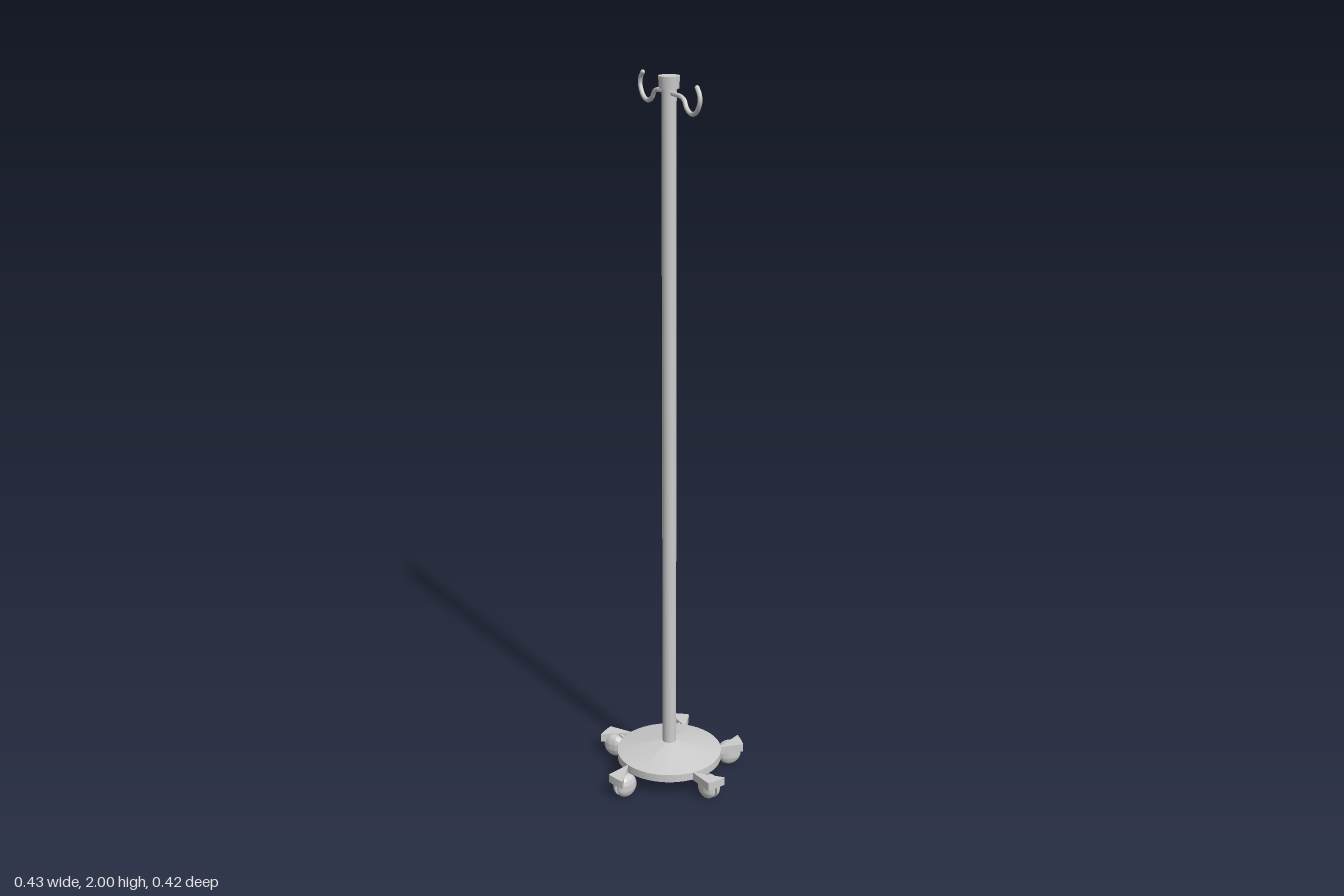
import * as THREE from 'three';
import { toCreasedNormals } from 'three/addons/utils/BufferGeometryUtils.js';

const material = new THREE.MeshStandardMaterial({ color: 0xcccccc });
const CENTRE_Z = -0.014;

function part(name, geometry, parent) {
  const mesh = new THREE.Mesh(geometry, material);
  mesh.name = name;
  parent.add(mesh);
  return mesh;
}

function lathe(points, segments) {
  const profile = points.map(([r, y]) => new THREE.Vector2(r, y));
  return toCreasedNormals(new THREE.LatheGeometry(profile, segments), 0.5);
}

// Flat foot arm with a rounded tip at the local origin, pointing along +x
function armGeometry() {
  const halfWidth = 0.0285, tipRadius = 0.22;
  const spread = Math.asin(halfWidth / tipRadius);
  const shape = new THREE.Shape();
  shape.moveTo(-0.078, -halfWidth);
  shape.absarc(-tipRadius, 0, tipRadius, -spread, spread, false);
  shape.lineTo(-0.078, halfWidth);
  shape.closePath();
  const geometry = new THREE.ExtrudeGeometry(shape, { depth: 0.024, bevelEnabled: false, curveSegments: 6 });
  geometry.rotateX(Math.PI / 2);
  geometry.translate(0, 0.069, 0);
  return geometry;
}

// One domed half of a twin-wheel caster, its axle along +z
function wheelGeometry() {
  const profile = [[0, 0.004], [0.034, 0.004]];
  for (let i = 0; i <= 8; i++) {
    const a = (i / 8) * Math.PI / 2;
    profile.push([Math.max(0, 0.034 * Math.cos(a)), 0.007 + 0.02 * Math.sin(a)]);
  }
  return lathe(profile, 28).rotateX(Math.PI / 2);
}

export function createModel() {
  const model = new THREE.Group();
  model.name = 'rollingStand';

  // Hollow conical base plate
  const base = part('basePlate', lathe([
    [0, 0.09], [0.143, 0.062], [0.146, 0.047], [0.15, 0.047], [0.15, 0.07], [0.018, 0.1],
  ], 64), model);
  base.position.z = CENTRE_Z;

  // Pole and its slightly flared cap
  const pole = part('pole', new THREE.CylinderGeometry(0.0195, 0.0195, 1.89, 32), model);
  pole.position.set(0, 1.035, CENTRE_Z);
  const cap = part('poleCap', new THREE.CylinderGeometry(0.028, 0.026, 0.032, 32), model);
  cap.position.set(0, 1.984, CENTRE_Z);

  // Double hook: one rod, mirrored about the pole
  const half = [
    [0.035, 1.957], [0.068, 1.956], [0.086, 1.95], [0.103, 1.93], [0.13, 1.921],
    [0.157, 1.931], [0.174, 1.957], [0.171, 1.975], [0.158, 1.99],
  ];
  const path = [
    ...half.map(([d, y]) => new THREE.Vector3(0, y, -d)).reverse(),
    ...half.map(([d, y]) => new THREE.Vector3(0, y, d)),
  ];
  const hooks = new THREE.Group();
  hooks.name = 'hooks';
  hooks.position.z = CENTRE_Z;
  model.add(hooks);
  part('hookRod', new THREE.TubeGeometry(new THREE.CatmullRomCurve3(path), 120, 0.006, 12), hooks);
  for (const s of [-1, 1]) {
    const tip = part('hookTip', new THREE.SphereGeometry(0.006, 12, 8), hooks);
    tip.position.set(0, 1.99, s * 0.158);
  }

  // Five arms: tip x, tip z and heading in degrees from +x towards +z
  const feet = [
    [0.213, 0.028, 11], [0.043, 0.204, 80], [-0.209, 0.068, 161],
    [-0.123, -0.196, 235], [0.12, -0.192, 304],
  ];
  const arm = armGeometry(), wheel = wheelGeometry();
  for (const [x, z, heading] of feet) {
    const foot = new THREE.Group();
    foot.name = 'foot';
    foot.position.set(x, 0, z);
    foot.rotation.y = -THREE.MathUtils.degToRad(heading);
    model.add(foot);
    part('arm', arm, foot);

    // Twin-wheel caster under the arm
    const caster = new THREE.Group();
    caster.name = 'caster';
    caster.position.set(-0.037, 0.034, 0);
    foot.add(caster);
    for (const turn of [0, Math.PI]) part('casterWheel', wheel, caster).rotation.y = turn;
    const body = part('casterBody', new THREE.BoxGeometry(0.036, 0.03, 0.01), caster);
    body.position.y = 0.008;
  }
  return model;
}
